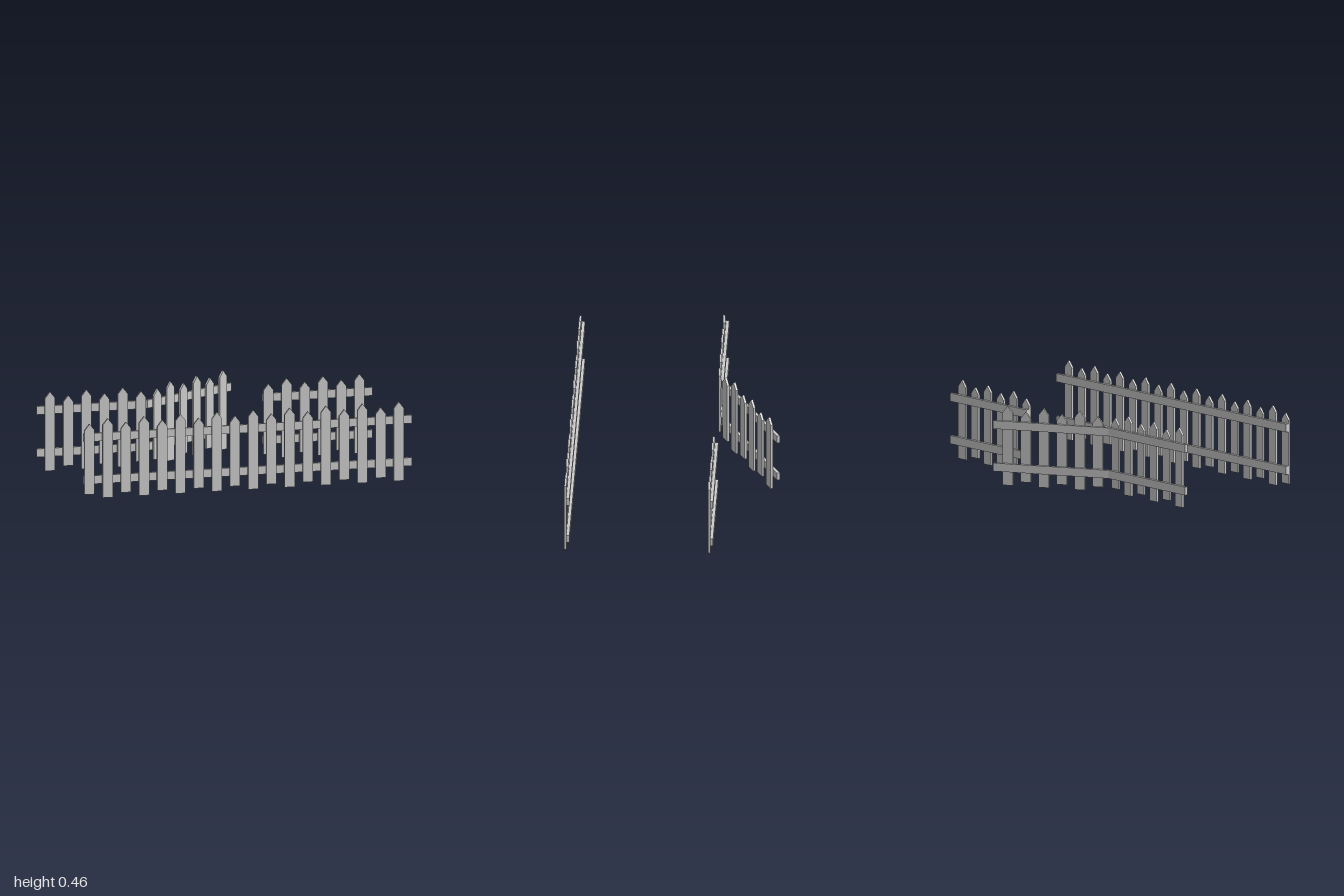
import * as THREE from 'three';

const SPACING = 0.1083;
const PICKET_W = 0.06, PICKET_T = 0.014;
const RAIL_H = 0.048, RAIL_T = 0.018;

// Pointed board, its back resting on z = 0
function picketGeometry(bottom, top) {
  const w = PICKET_W / 2, shoulder = top - 0.038;
  const shape = new THREE.Shape([
    new THREE.Vector2(-w, bottom),
    new THREE.Vector2(w, bottom),
    new THREE.Vector2(w, shoulder),
    new THREE.Vector2(0, top),
    new THREE.Vector2(-w, shoulder),
  ]);
  return new THREE.ExtrudeGeometry(shape, { depth: PICKET_T, bevelEnabled: false });
}

export function createModel() {
  const model = new THREE.Group();
  model.name = 'picketFence';
  const material = new THREE.MeshStandardMaterial({ color: 0xcccccc, flatShading: true });
  const tall = picketGeometry(0, 0.462);
  const short = picketGeometry(0.024, 0.435);

  // A straight run along local +x: two rails behind a row of alternating pickets
  function addSection(name, { x, z, length, first, count, startTall, angle = 0 }) {
    const section = new THREE.Group();
    section.name = name;
    section.position.set(x, 0, z);
    section.rotation.y = angle;

    for (const [railName, y] of [['lowerRail', 0.105], ['upperRail', 0.353]]) {
      const rail = new THREE.Mesh(new THREE.BoxGeometry(length, RAIL_H, RAIL_T), material);
      rail.name = railName;
      rail.position.set(length / 2, y, 0);
      section.add(rail);
    }
    for (let i = 0; i < count; i++) {
      const isTall = (i % 2 === 0) === startTall;
      const picket = new THREE.Mesh(isTall ? tall : short, material);
      picket.name = isTall ? 'tallPicket' : 'shortPicket';
      picket.position.set(first + i * SPACING, 0, RAIL_T / 2);
      section.add(picket);
    }
    model.add(section);
  }

  // Long front run
  addSection('frontFence', { x: -0.955, z: 0.579, length: 1.955, first: 0.031, count: 18, startTall: false });
  // Back runs on either side of the gateway
  addSection('backRightFence', { x: -1, z: -0.245, length: 0.658, first: 0.076, count: 6, startTall: true });
  addSection('backLeftFence', { x: 0.348, z: -0.245, length: 0.652, first: 0.0285, count: 6, startTall: false });
  // Gate swung open toward the back
  addSection('openGate', {
    x: -0.344, z: -0.247, length: 0.693, first: 0.07, count: 6, startTall: false, angle: Math.PI / 6,
  });

  return model;
}
